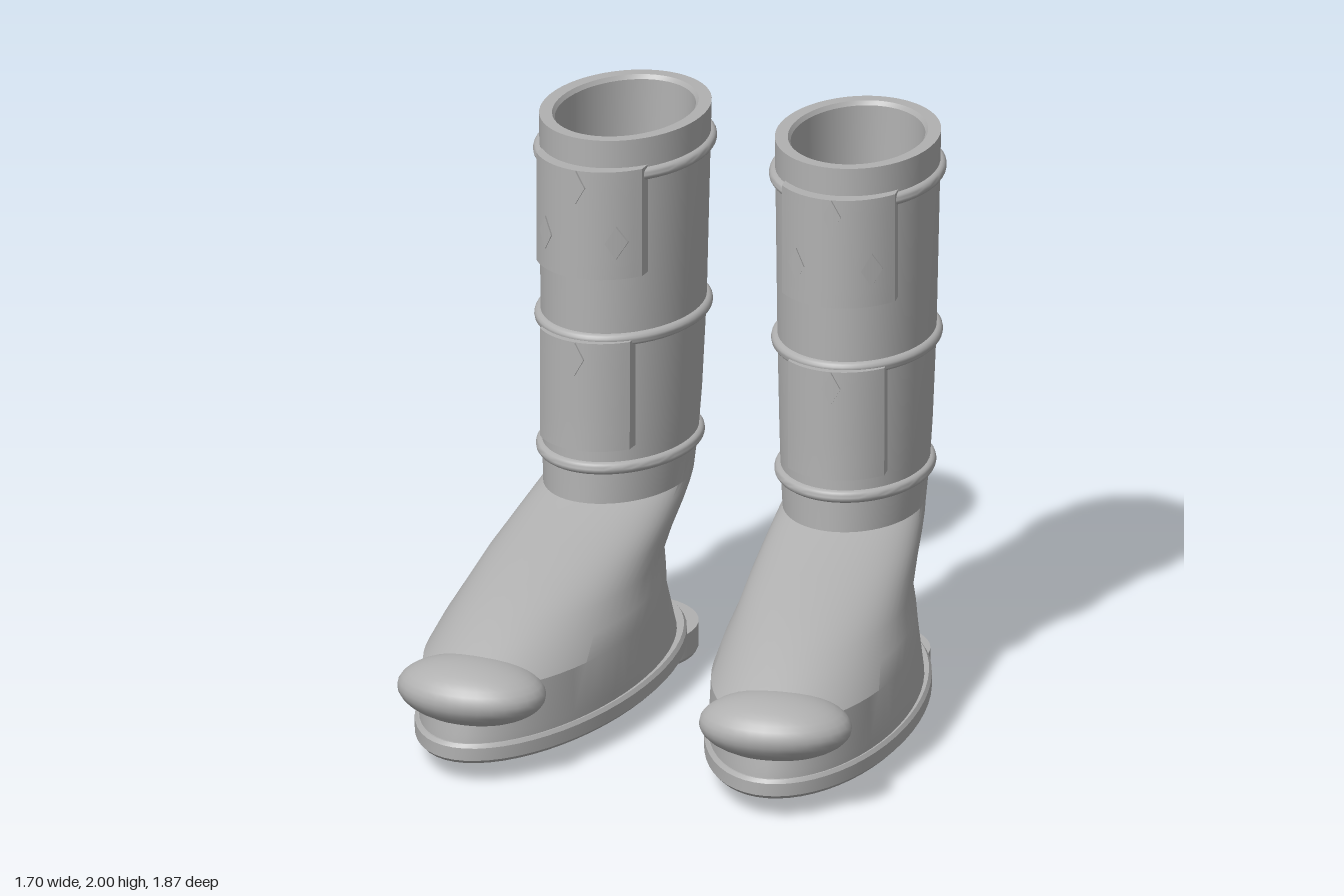
import * as THREE from 'three';
import { toCreasedNormals } from 'three/addons/utils/BufferGeometryUtils.js';

const SIDES = 56;

// Skin elliptical sections [y, centreZ, radiusX, radiusZ], bottom to top on the outside
function loft(sections, crease = 0.45) {
  const pos = [], index = [];
  for (const [y, cz, rx, rz] of sections) {
    for (let j = 0; j < SIDES; j++) {
      const a = (j / SIDES) * Math.PI * 2;
      pos.push(rx * Math.sin(a), y, cz + rz * Math.cos(a));
    }
  }
  for (let i = 0; i < sections.length - 1; i++) {
    for (let j = 0; j < SIDES; j++) {
      const k = (j + 1) % SIDES;
      const a = i * SIDES + j, b = i * SIDES + k, c = b + SIDES, d = a + SIDES;
      index.push(a, b, c, a, c, d);
    }
  }
  const geo = new THREE.BufferGeometry();
  geo.setAttribute('position', new THREE.Float32BufferAttribute(pos, 3));
  geo.setIndex(index);
  return toCreasedNormals(geo, crease);
}

// Outer skin of the boot, from the sole up to the rim
const SKIN = [
  [0.12, 0.1, 0.34, 0.79], [0.17, 0.11, 0.338, 0.775], [0.33, 0.13, 0.33, 0.72],
  [0.4, 0.06, 0.312, 0.65], [0.47, -0.02, 0.287, 0.57], [0.54, -0.165, 0.275, 0.505],
  [0.6, -0.325, 0.262, 0.43], [0.64, -0.425, 0.252, 0.375], [0.67, -0.492, 0.243, 0.333],
  [0.8, -0.508, 0.253, 0.343], [0.95, -0.52, 0.26, 0.35],
  [1.27, -0.535, 0.27, 0.36], [2.0, -0.55, 0.283, 0.365],
];

// Interpolated skin section at a height
function sectionAt(y) {
  const i = Math.max(1, SKIN.findIndex((s) => s[0] >= y));
  const a = SKIN[i - 1], b = SKIN[i], t = (y - a[0]) / (b[0] - a[0]);
  return a.map((v, k) => v + (b[k] - v) * t);
}

// Wrap a flat geometry onto the front of the shaft
function wrap(geo) {
  const p = geo.attributes.position;
  for (let i = 0; i < p.count; i++) {
    const [, cz, rx, rz] = sectionAt(p.getY(i));
    const u = p.getX(i) / rx;
    p.setZ(i, p.getZ(i) + cz + rz * Math.sqrt(Math.max(0, 1 - u * u)));
  }
  return toCreasedNormals(geo, 0.5);
}

export function createModel() {
  const grey = new THREE.MeshStandardMaterial({ color: 0xb0b0b0 });
  grey.name = 'grey';

  function createBoot(name) {
    const boot = new THREE.Group();
    boot.name = name;
    const add = (part, geo) => {
      const mesh = new THREE.Mesh(geo, grey);
      mesh.name = part;
      boot.add(mesh);
      return mesh;
    };

    // Hollow upper: outer skin, rim, then lining down to the insole
    const wall = 0.055;
    const lining = SKIN.slice(1).reverse()
      .map(([y, cz, rx, rz]) => [y, cz, rx - wall, rz - wall]);
    lining[0][0] = 1.985;
    const rim = [2.0, -0.55, 0.238, 0.32];
    const insole = [0.17, 0.11, 0, 0];
    add('upper', loft([...SKIN, rim, ...lining, insole]));

    // Sole with a softened edge, and a welt above it
    add('sole', loft([
      [0.072, 0.08, 0, 0], [0.072, 0.08, 0.345, 0.812], [0.085, 0.08, 0.358, 0.826],
      [0.13, 0.08, 0.358, 0.826], [0.143, 0.08, 0.348, 0.815], [0.143, 0.08, 0, 0],
    ]));

    // Heel block
    add('heel', loft([
      [0, -0.555, 0, 0], [0, -0.555, 0.242, 0.258], [0.012, -0.555, 0.248, 0.265],
      [0.098, -0.555, 0.248, 0.265], [0.098, -0.555, 0, 0],
    ]));

    // Toe cap
    const toe = add('toeCap', new THREE.SphereGeometry(1, 32, 18));
    toe.scale.set(0.268, 0.112, 0.197);
    toe.position.set(0, 0.29, 0.748);

    // Raised bands round the shaft
    for (const y of [0.8, 1.27, 1.87]) {
      const [, cz, rx, rz] = sectionAt(y);
      const profile = [];
      for (let k = 0; k <= 8; k++) {
        const a = -Math.PI / 2 + (k / 8) * Math.PI, r = 0.022;
        const out = r * Math.cos(a);
        profile.push([y + r * Math.sin(a), cz, rx + out, rz + out]);
      }
      add('band', loft(profile, 0.8));
    }

    // Curved front plates
    const plate = (part, width, y0, y1) => {
      const geo = new THREE.BoxGeometry(width, y1 - y0, 0.08, 20, 6, 1);
      geo.translate(0, (y0 + y1) / 2, 0.008);
      add(part, wrap(geo));
    };
    plate('upperPlate', 0.4, 1.505, 1.9);
    plate('lowerPlate', 0.34, 0.875, 1.27);

    // Diamond studs on the plates
    for (const [x, y] of [[0, 1.84], [-0.134, 1.64], [0.134, 1.64], [0, 1.21]]) {
      const geo = new THREE.CylinderGeometry(1, 1, 0.016, 4);
      geo.rotateX(Math.PI / 2);
      geo.scale(0.033, 0.06, 1);
      geo.translate(x, y, 0.049);
      add('diamondStud', wrap(geo));
    }
    return boot;
  }

  // A pair of boots, toes turned slightly outwards
  const model = new THREE.Group();
  model.name = 'boots';
  for (const [name, side] of [['leftBoot', 1], ['rightBoot', -1]]) {
    const boot = createBoot(name);
    boot.position.x = side * 0.478;
    boot.rotation.y = side * 0.1;
    model.add(boot);
  }
  return model;
}
